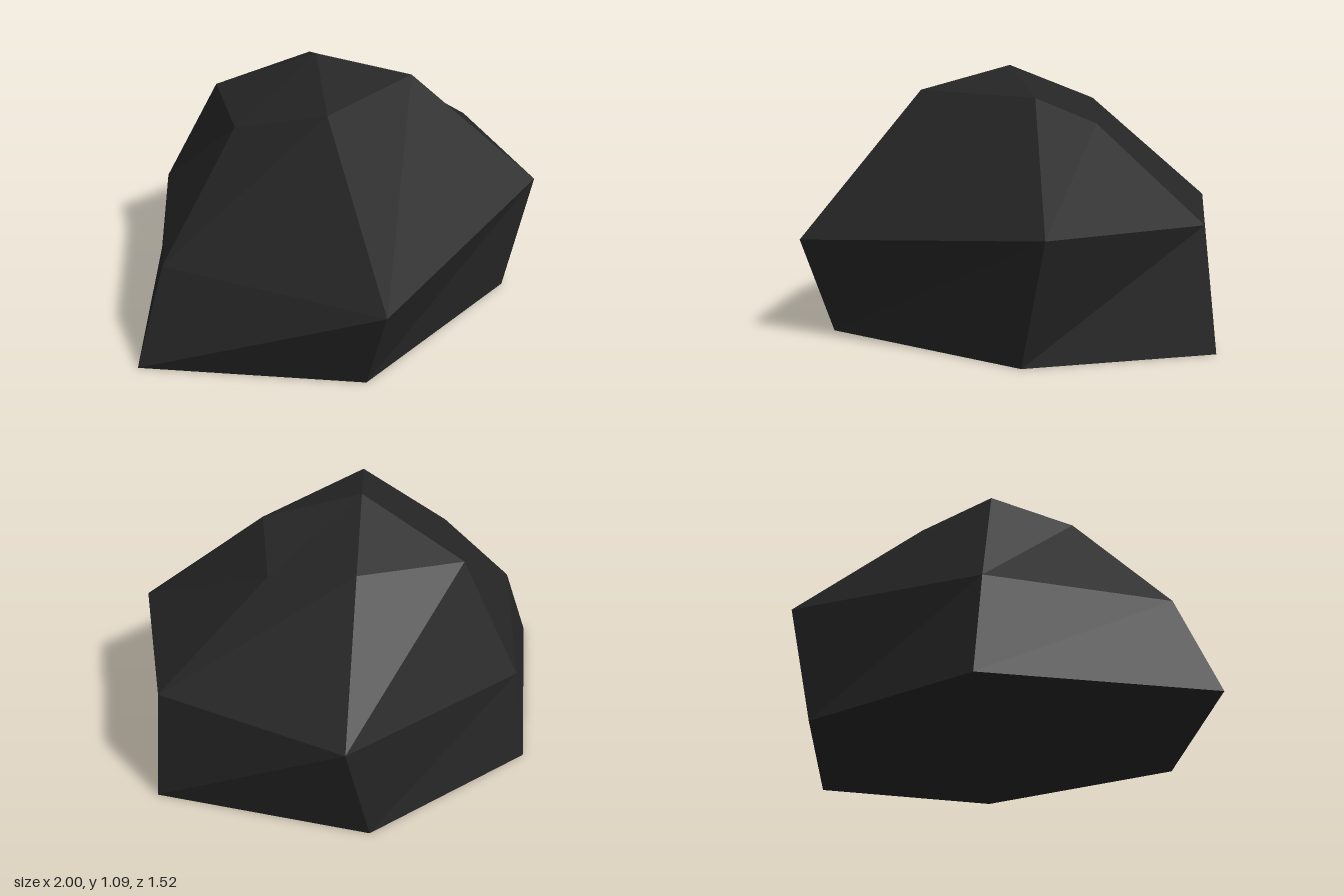
import * as THREE from 'three';

// Six-sided cross-sections, counterclockwise from the front-left corner: [x, y, z]
const rings = [
  // ground outline
  [[-0.4, 0, 0.62], [0.53, 0, 0.55], [1, 0, -0.07], [0.41, 0, -0.74], [-0.39, 0, -0.75], [-1, 0, -0.08]],
  // widest belt
  [[-0.44, 0.4, 0.76], [0.66, 0.5, 0.58], [0.94, 0.5, -0.06], [0.54, 0.5, -0.76], [-0.37, 0.41, -0.68], [-0.83, 0.4, -0.1]],
  // shoulder
  [[-0.25, 0.985, 0.24], [0.3, 0.97, 0.17], [0.43, 0.86, -0.07], [0.21, 0.94, -0.36], [-0.24, 0.89, -0.46], [-0.41, 0.86, -0.13]],
];
const peak = [-0.02, 1.085, -0.07];
const baseCentre = [0, 0, -0.07];

function buildRock() {
  const points = [];
  const triangle = (a, b, c) => points.push(...a, ...b, ...c);
  const sides = rings[0].length;
  for (let i = 0; i < sides; i++) {
    const j = (i + 1) % sides;
    // side facets between neighbouring rings
    for (let r = 0; r < rings.length - 1; r++) {
      const low = rings[r], high = rings[r + 1];
      triangle(low[i], low[j], high[j]);
      triangle(low[i], high[j], high[i]);
    }
    // crown and underside fans
    const top = rings[rings.length - 1];
    triangle(top[i], top[j], peak);
    triangle(rings[0][j], rings[0][i], baseCentre);
  }
  const geometry = new THREE.BufferGeometry();
  geometry.setAttribute('position', new THREE.Float32BufferAttribute(points, 3));
  geometry.computeVertexNormals(); // unshared corners give flat facets
  return geometry;
}

export function createModel() {
  const group = new THREE.Group();
  group.name = 'boulder';
  const darkStone = new THREE.MeshStandardMaterial({ color: 0x252525 });
  darkStone.name = 'darkStone';
  darkStone.flatShading = true;
  const rock = new THREE.Mesh(buildRock(), darkStone);
  rock.name = 'rock';
  group.add(rock);
  return group;
}
